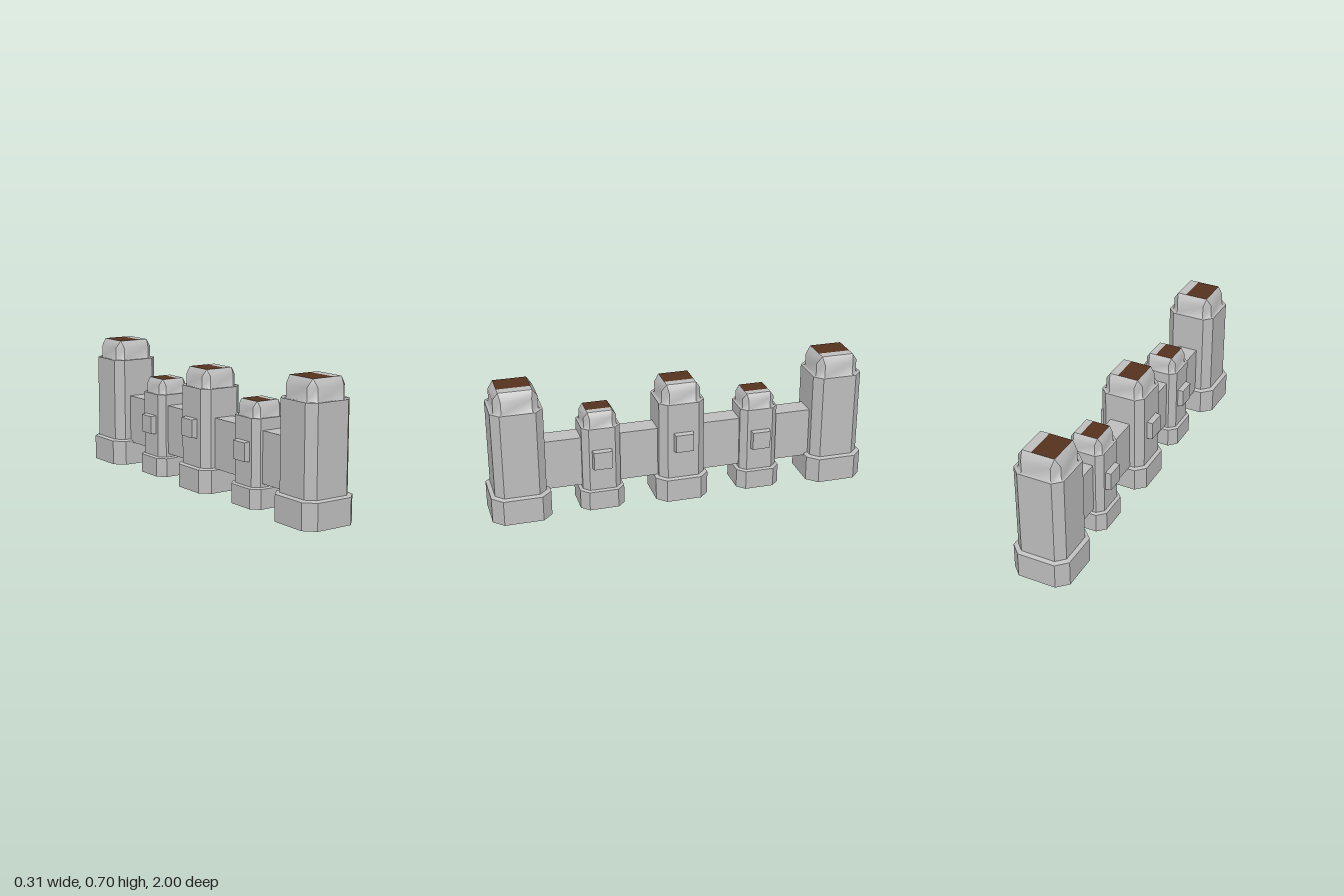
import * as THREE from 'three';

const stone = new THREE.MeshStandardMaterial({ color: 0xbebebe, side: THREE.DoubleSide });
stone.name = 'grey stone';
const brown = new THREE.MeshStandardMaterial({ color: 0x55331f, side: THREE.DoubleSide });
brown.name = 'dark brown';

// Square of half width w with its corners cut by c, counter-clockwise from above
function ring(w, y, c) {
  const k = w - c;
  return [[w, k], [w, -k], [k, -w], [-k, -w], [-w, -k], [-w, k], [-k, w], [k, w]]
    .map(([x, z]) => [x, y, z]);
}

// Skin over stacked rings [halfWidth, y, cut]; each of the eight sides keeps
// its own vertices, so shading is smooth up a side but sharp between sides
function shell(levels) {
  const rings = levels.map((l) => ring(...l));
  const pos = [], idx = [];
  for (let s = 0; s < 8; s++) {
    const start = pos.length / 3;
    rings.forEach((r) => pos.push(...r[s], ...r[(s + 1) % 8]));
    for (let i = 0; i < rings.length - 1; i++) {
      const a = start + i * 2;
      idx.push(a, a + 1, a + 3, a, a + 3, a + 2);
    }
  }
  const g = new THREE.BufferGeometry();
  g.setAttribute('position', new THREE.Float32BufferAttribute(pos, 3));
  g.setIndex(idx);
  g.computeVertexNormals();
  return g;
}

function add(parent, name, geometry, material) {
  const m = new THREE.Mesh(geometry, material);
  m.name = name;
  parent.add(m);
  return m;
}

// Flat piece of the roof between x0 and x1
function roofPiece(x0, x1, depth, y) {
  return new THREE.PlaneGeometry(x1 - x0, depth)
    .rotateX(-Math.PI / 2).translate((x0 + x1) / 2, y, 0);
}

// Hollow tower, open underneath
function tower(name, z, scale) {
  const t = new THREE.Group();
  t.name = name;
  add(t, 'base', shell([[0.153, 0, 0.053], [0.153, 0.134, 0.053]]), stone);
  add(t, 'baseLedge', shell([[0.153, 0.134, 0.053], [0.132, 0.141, 0.042]]), stone);
  add(t, 'body', shell([[0.132, 0.141, 0.042], [0.132, 0.593, 0.042]]), stone);
  add(t, 'cap', shell([
    [0.132, 0.593, 0.042], [0.112, 0.593, 0.035], [0.112, 0.659, 0.035], [0.085, 0.698, 0],
  ]), stone);
  add(t, 'roofPanel', roofPiece(-0.085, 0.037, 0.17, 0.698), brown);
  add(t, 'roofEdge', roofPiece(0.037, 0.085, 0.17, 0.698), stone);
  t.scale.setScalar(scale);
  t.position.z = z;
  return t;
}

// Slightly tapered square block standing out from a tower side
function sideBlock(parent, side, x0, x1, y, z) {
  const g = new THREE.BoxGeometry(x1 - x0, 0.104, 0.104);
  const p = g.attributes.position;
  for (let i = 0; i < p.count; i++) {
    if (p.getX(i) * side > 0) p.setXYZ(i, p.getX(i), p.getY(i) * 0.91, p.getZ(i) * 0.91);
  }
  g.computeVertexNormals();
  add(parent, side > 0 ? 'leftBlock' : 'rightBlock', g, stone)
    .position.set(side * (x0 + x1) / 2, y, z);
}

export function createModel() {
  const model = new THREE.Group();
  model.name = 'towerWall';

  // Towers: large at the ends, small between, medium in the middle
  model.add(tower('middleTower', 0, 0.912));
  for (const s of [1, -1]) {
    const end = s > 0 ? 'front' : 'back';
    model.add(tower(end + 'SmallTower', s * 0.423, 0.757));
    model.add(tower(end + 'LargeTower', s * 0.847, 1));
  }

  // Wall joining the towers
  add(model, 'wall', new THREE.BoxGeometry(0.11, 0.265, 1.56), stone).position.y = 0.2575;

  // Blocks on both sides of the three inner towers
  for (const side of [1, -1]) {
    sideBlock(model, side, 0.11, 0.15, 0.331, 0);
    for (const z of [0.425, -0.425]) sideBlock(model, side, 0.09, 0.129, 0.281, z);
  }
  return model;
}
